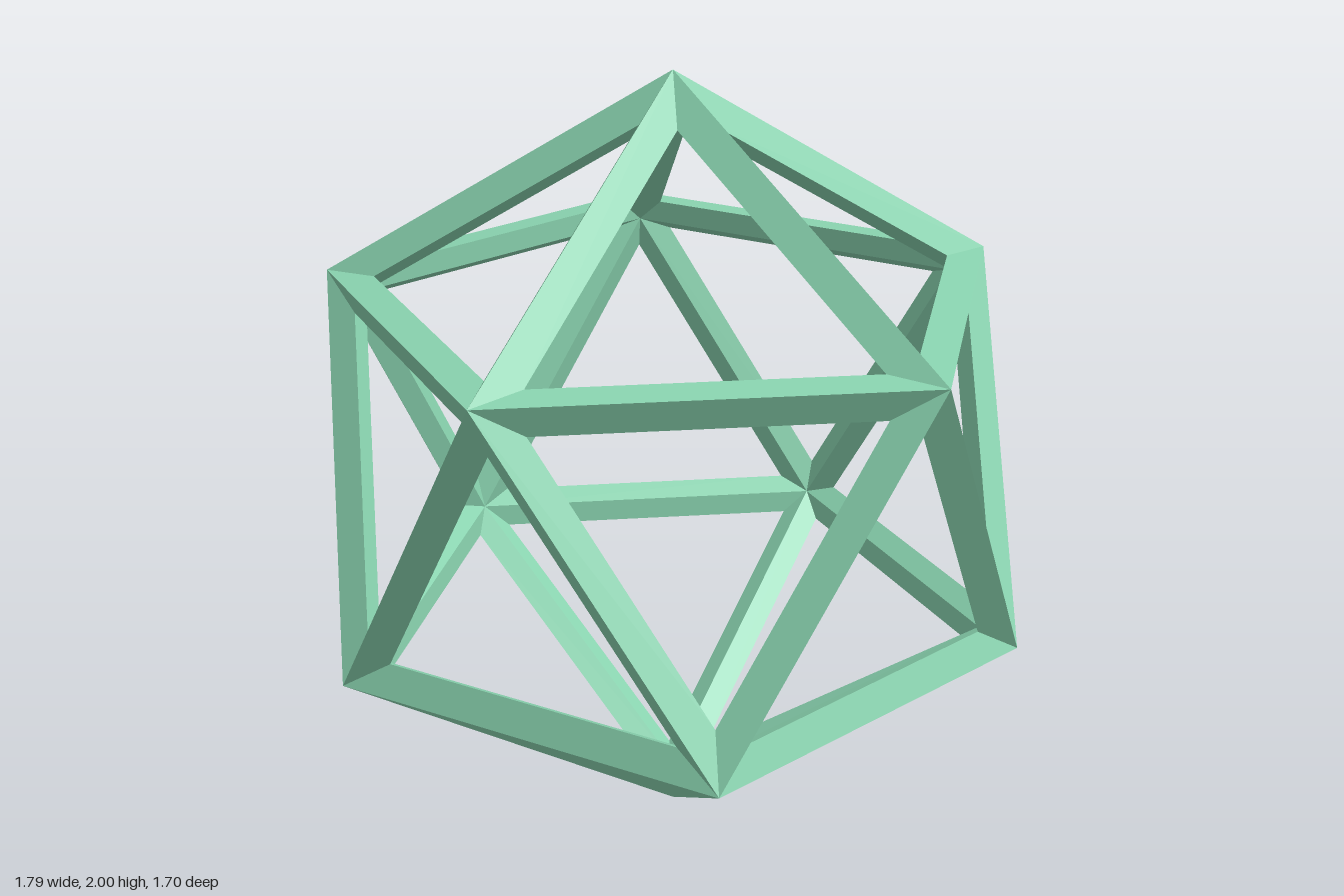
import * as THREE from 'three';

const HALF = 0.056;       // half the strut thickness
const MID = 1 - HALF;     // scale of the side ridges' plane
const INNER = 1 - 2 * HALF; // scale of the inner ridge

// Icosahedron corners: two poles and two staggered rings of five
function corners() {
  const list = [new THREE.Vector3(0, 1, 0), new THREE.Vector3(0, -1, 0)];
  const y = 1 / Math.sqrt(5), r = 2 * y;
  for (let i = 0; i < 10; i++) {
    const a = (i * Math.PI) / 5;
    list.push(new THREE.Vector3(r * Math.cos(a), i % 2 ? -y : y, r * Math.sin(a)));
  }
  return list;
}

// Corner of the triangular opening next to corner a of face abc
function opening(a, b, c) {
  const inward = b.clone().add(c).multiplyScalar(0.5).sub(a).normalize();
  return a.clone().multiplyScalar(MID).addScaledVector(inward, 2 * HALF);
}

// Kite-section strut along edge ab, mitred at both ends
function strutGeometry(a, b, c, d) {
  const pos = [];
  const quad = (p, q, r, s) => [p, q, r, p, r, s].forEach((v) => pos.push(v.x, v.y, v.z));
  for (const [u, v, w] of [[a, b, c], [b, a, d]]) {
    const pu = opening(u, v, w), pv = opening(v, w, u);
    quad(u, v, pv, pu);
    quad(pu, pv, v.clone().multiplyScalar(INNER), u.clone().multiplyScalar(INNER));
  }
  const geo = new THREE.BufferGeometry();
  geo.setAttribute('position', new THREE.Float32BufferAttribute(pos, 3));
  geo.computeVertexNormals();
  return geo;
}

export function createModel() {
  const group = new THREE.Group();
  group.name = 'icosahedronFrame';
  const mint = new THREE.MeshStandardMaterial({ color: 0x8ad4b0, flatShading: true });
  mint.name = 'mintGreen';

  const pts = corners();
  const linked = (p, q) => p !== q && p.distanceTo(q) < 1.2;
  for (let i = 0; i < pts.length; i++) {
    for (let j = i + 1; j < pts.length; j++) {
      const a = pts[i], b = pts[j];
      if (!linked(a, b)) continue;
      // The two corners that complete the faces on either side
      const sides = pts.filter((p) => linked(p, a) && linked(p, b));
      const normal = a.clone().cross(b);
      if (normal.dot(sides[0]) < 0) sides.reverse();
      const strut = new THREE.Mesh(strutGeometry(a, b, sides[0], sides[1]), mint);
      strut.name = 'strut';
      strut.position.y = 1;
      group.add(strut);
    }
  }
  return group;
}
